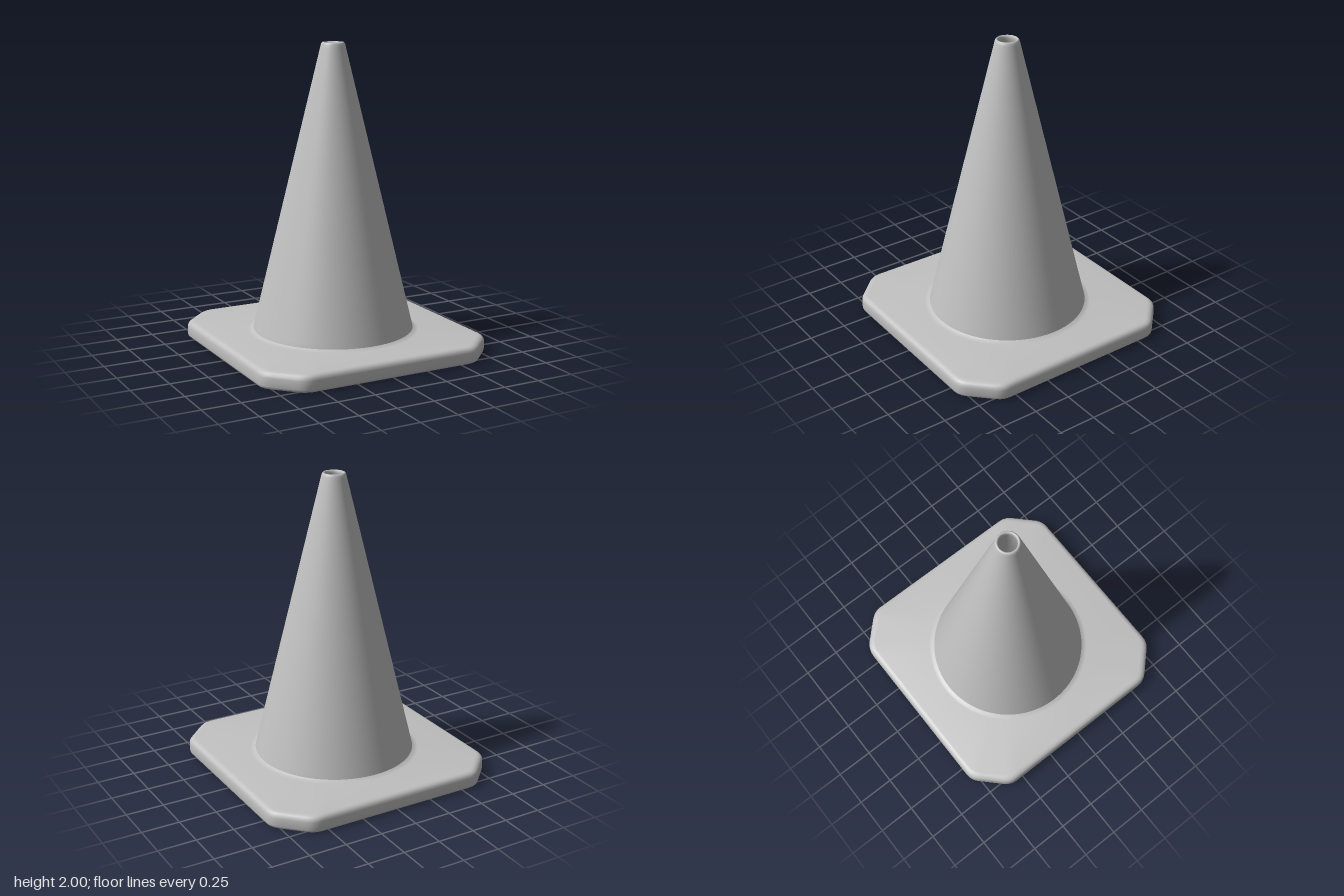
import * as THREE from 'three';
import { toCreasedNormals } from 'three/addons/utils/BufferGeometryUtils.js';

const HALF = 0.805;   // half width of the base plate
const CORNER = 0.605; // where the cut corners begin

// Square outline with cut, softly rounded corners
function plateOutline(count) {
  const v = [
    [HALF, -CORNER], [HALF, CORNER], [CORNER, HALF], [-CORNER, HALF],
    [-HALF, CORNER], [-HALF, -CORNER], [-CORNER, -HALF], [CORNER, -HALF],
  ].map(([x, y]) => new THREE.Vector2(x, y));
  const toward = (a, b) => a.clone().add(b.clone().sub(a).setLength(0.05));
  const shape = new THREE.Shape();
  v.forEach((p, i) => {
    const a = toward(p, v[(i + 7) % 8]);
    const b = toward(p, v[(i + 1) % 8]);
    if (i === 0) shape.moveTo(a.x, a.y);
    else shape.lineTo(a.x, a.y);
    shape.quadraticCurveTo(p.x, p.y, b.x, b.y);
  });
  shape.closePath();
  return shape.getSpacedPoints(count).slice(0, count);
}

// Plate lofted through rings: outline rings on the outside, circles at the hole
function plateGeometry() {
  const n = 192;
  const outline = plateOutline(n);
  const edge = (inset, y) => outline.map((p) => {
    const s = 1 - inset / HALF;
    return [p.x * s, y, p.y * s];
  });
  const circle = (r, y) => outline.map((p) => {
    const s = r / p.length();
    return [p.x * s, y, p.y * s];
  });
  const rings = [
    circle(0.515, 0), edge(0.02, 0), edge(0.012, 0.002), edge(0.003, 0.01), edge(0, 0.022),
    edge(0, 0.075), edge(0.003, 0.09), edge(0.011, 0.102), edge(0.023, 0.109), edge(0.038, 0.112),
    circle(0.565, 0.112), circle(0.545, 0.115), circle(0.528, 0.125),
  ];
  const index = [];
  for (let r = 0; r < rings.length - 1; r++) {
    for (let i = 0; i < n; i++) {
      const j = (i + 1) % n;
      const a = r * n + i, b = r * n + j, c = a + n, d = b + n;
      index.push(a, c, b, b, c, d);
    }
  }
  const g = new THREE.BufferGeometry();
  g.setAttribute('position', new THREE.Float32BufferAttribute(rings.flat(2), 3));
  g.setIndex(index);
  return toCreasedNormals(g, 0.7);
}

// Hollow cone: outer wall up, over the rounded rim, inner wall down
function coneGeometry() {
  const profile = [
    [0.531, 0.115], [0.524, 0.145], [0.083, 1.965], [0.079, 1.982], [0.075, 1.994],
    [0.069, 2.0], [0.064, 2.0], [0.059, 1.994], [0.057, 1.982], [0.061, 1.96],
    [0.508, 0.03], [0.515, 0],
  ].map(([r, y]) => new THREE.Vector2(r, y));
  return new THREE.LatheGeometry(profile, 96);
}

export function createModel() {
  const grey = new THREE.MeshStandardMaterial({ color: 0xc0c0c0 });
  grey.name = 'light grey';

  const model = new THREE.Group();
  model.name = 'trafficCone';
  const add = (name, geometry) => {
    const mesh = new THREE.Mesh(geometry, grey);
    mesh.name = name;
    model.add(mesh);
  };
  add('basePlate', plateGeometry());
  add('hollowCone', coneGeometry());
  return model;
}
